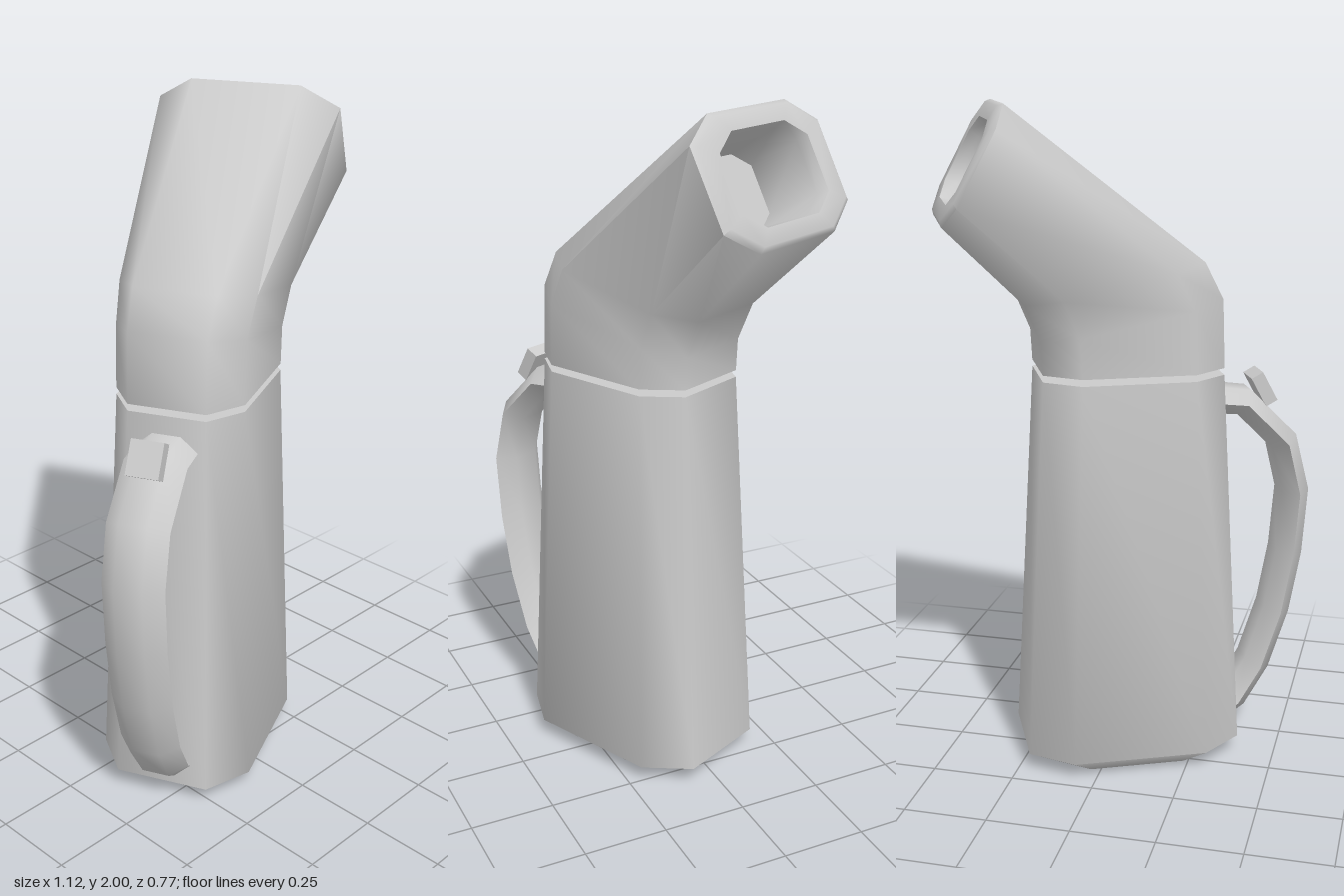
import * as THREE from 'three';
import { toCreasedNormals } from 'three/addons/utils/BufferGeometryUtils.js';

const material = new THREE.MeshStandardMaterial({ color: 0xcccccc });

// Cross-sections as unit outlines: [across the bend, sideways]
const octagon = [[1, -0.6], [1, 0.6], [0.62, 1], [-0.62, 1], [-1, 0.6], [-1, -0.6], [-0.62, -1], [0.62, -1]];
const hexagon = [[1, -0.45], [1, 0.45], [0, 1], [-1, 0.45], [-1, -0.45], [0, -1]];

// Ring centred at (x, y), spanned by (ax, ay) in the middle plane and by halfWidth along z
const ring = (outline, x, y, ax, ay, halfWidth) =>
  outline.map(([p, q]) => [x + p * ax, y + p * ay, q * halfWidth]);

// Skin between successive rings, capped at both ends
function loft(name, rings, crease) {
  const n = rings[0].length;
  const index = [];
  for (let i = 0; i < rings.length - 1; i++) {
    for (let j = 0; j < n; j++) {
      const a = i * n + j, b = i * n + (j + 1) % n;
      index.push(a, a + n, b + n, a, b + n, b);
    }
  }
  const last = (rings.length - 1) * n;
  for (let j = 1; j < n - 1; j++) {
    index.push(0, j, j + 1, last, last + j + 1, last + j);
  }
  const geometry = new THREE.BufferGeometry();
  geometry.setAttribute('position', new THREE.Float32BufferAttribute(rings.flat(2), 3));
  geometry.setIndex(index);
  const mesh = new THREE.Mesh(toCreasedNormals(geometry, crease), material);
  mesh.name = name;
  return mesh;
}

export function createModel() {
  const flask = new THREE.Group();
  flask.name = 'flask';

  // Tapered body with bevelled foot: [y, half depth, half width]
  const body = [[0, 0.235, 0.18], [0.05, 0.33, 0.235], [1.215, 0.27, 0.19]];
  flask.add(loft('body', body.map(([y, a, b]) => ring(octagon, 0, y, a, 0, b)), 1.05));

  // Bent neck: [outer x, outer y, inner x, inner y, half width]
  const neckSections = [
    [-0.27, 1.235, 0.27, 1.235, 0.19],
    [-0.262, 1.44, 0.275, 1.33, 0.19],
    [-0.205, 1.55, 0.32, 1.44, 0.2],
    [0.375, 2.0, 0.55, 1.67, 0.275],
  ];
  const neckRings = neckSections.map(([ox, oy, ix, iy, b]) =>
    ring(octagon, (ox + ix) / 2, (oy + iy) / 2, (ix - ox) / 2, (iy - oy) / 2, b));

  // Rounded rim and recessed mouth: [offset along the spout, scale]
  for (const [d, s] of [[0.012, 0.93], [0.012, 0.69], [-0.02, 0.65], [-0.18, 0.6]]) {
    neckRings.push(ring(octagon, 0.4625 + 0.88 * d, 1.835 + 0.47 * d, 0.0875 * s, -0.165 * s, 0.275 * s));
  }
  flask.add(loft('neck', neckRings, 1.05));

  // Curved strap handle, from the upper joint down to the lower one
  const path = [
    [-0.22, 1.125], [-0.355, 1.11], [-0.485, 0.98], [-0.525, 0.82],
    [-0.51, 0.62], [-0.475, 0.43], [-0.415, 0.25], [-0.345, 0.135], [-0.29, 0.1],
  ];
  const handleRings = path.map(([x, y], i) => {
    const p = path[Math.max(i - 1, 0)], q = path[Math.min(i + 1, path.length - 1)];
    const t = new THREE.Vector2(q[0] - p[0], q[1] - p[1]).normalize().multiplyScalar(0.042);
    return ring(hexagon, x, y, t.y, -t.x, 0.092);
  });
  flask.add(loft('handle', handleRings, 1.3));

  // Thumb button leaning toward the neck
  const button = new THREE.Mesh(new THREE.BoxGeometry(0.04, 0.1, 0.095), material);
  button.name = 'thumbButton';
  button.position.set(-0.415, 1.148, 0);
  button.rotation.z = -0.5;
  flask.add(button);

  // The flask stands turned about the vertical
  flask.rotation.y = 0.428;
  flask.position.set(-0.028, 0, 0.085);
  const model = new THREE.Group();
  model.name = 'handledFlask';
  model.add(flask);
  return model;
}
